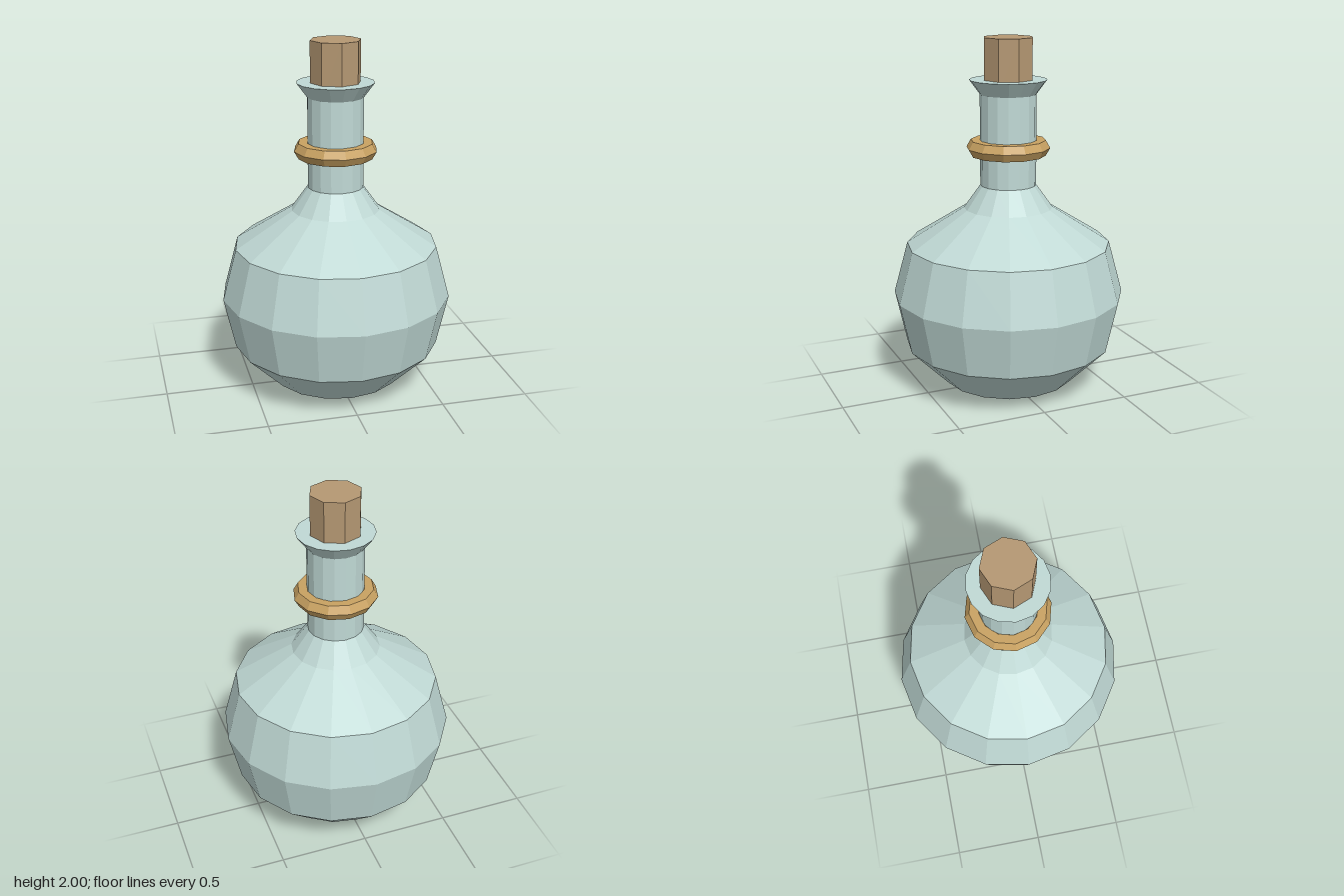
import * as THREE from 'three';

export function createModel() {
  const group = new THREE.Group();
  const material = (name, color) => {
    const m = new THREE.MeshStandardMaterial({ color, flatShading: true });
    m.name = name;
    return m;
  };
  const glass = material('pale glass', 0xc0d9d5);
  const brass = material('brass', 0xc9a262);
  const corkWood = material('cork', 0xb59873);

  const add = (name, geometry, mat) => {
    const mesh = new THREE.Mesh(geometry, mat);
    mesh.name = name;
    group.add(mesh);
    return mesh;
  };
  // Sixteen-sided turned part from [radius, height] pairs, bottom to top
  const turned = (profile) =>
    new THREE.LatheGeometry(profile.map(([r, y]) => new THREE.Vector2(r, y)), 16);

  // Round belly with a shallow pointed base and sloping shoulder
  add('body', turned([
    [0, 0], [0.375, 0.04], [0.59, 0.255], [0.655, 0.55],
    [0.575, 0.845], [0.25, 1.05], [0.157, 1.18],
  ]), glass);

  // Straight neck, then a flared lip closed by a flat top
  add('neck', turned([[0.157, 1.18], [0.157, 1.69]]), glass);
  add('lip', turned([[0.157, 1.69], [0.216, 1.77], [0, 1.77]]), glass);

  // Faceted collar around the neck
  const collar = add('collar', new THREE.TorusGeometry(0.185, 0.05, 6, 12), brass);
  collar.rotation.x = Math.PI / 2;
  collar.position.y = 1.392;

  // Octagonal stopper, partly sunk into the lip
  const stopper = add('stopper', new THREE.CylinderGeometry(0.142, 0.142, 0.3, 8), corkWood);
  stopper.position.y = 1.85;

  return group;
}
